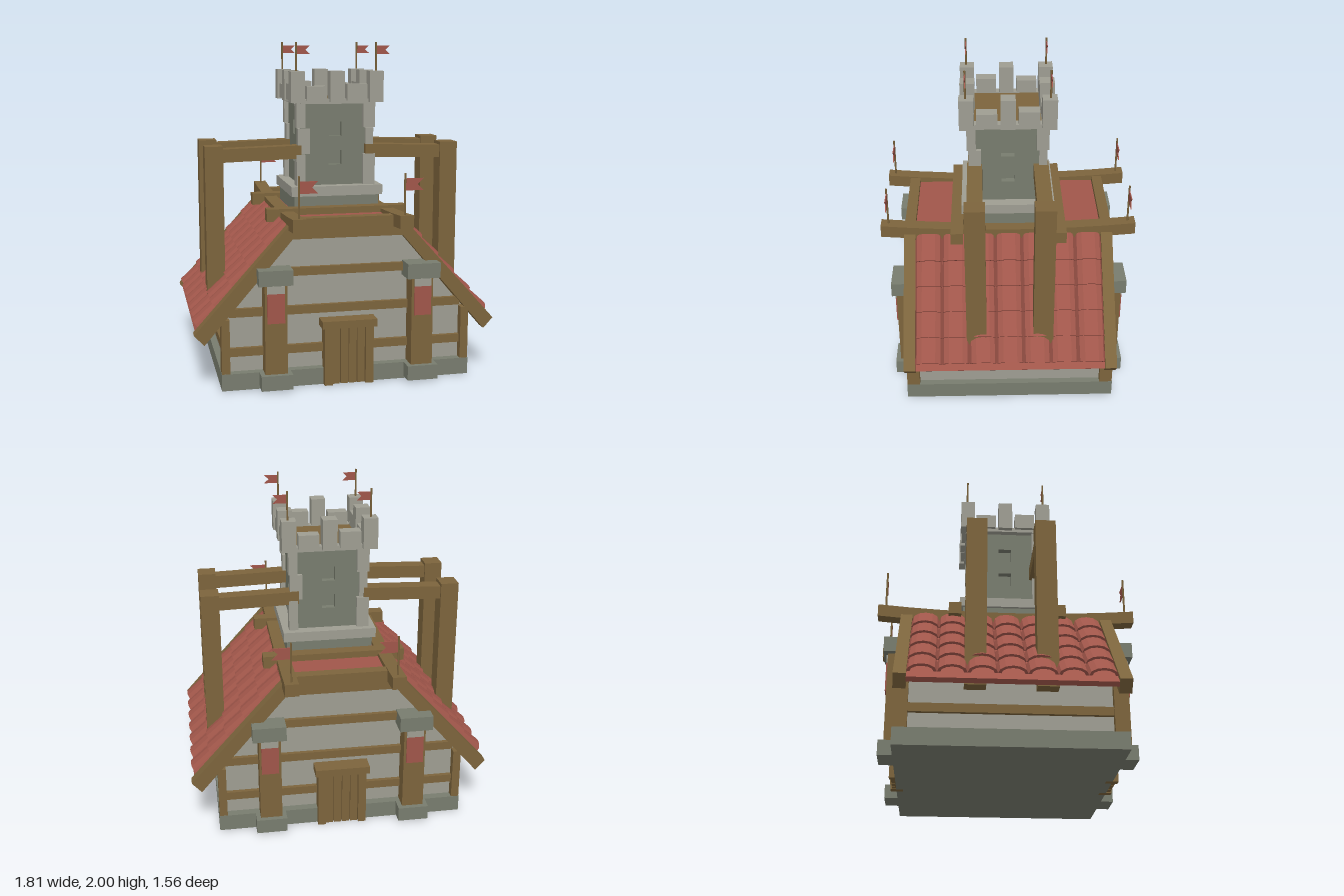
import * as THREE from 'three';

const mat = (name, color) => {
  const m = new THREE.MeshStandardMaterial({ color, side: THREE.DoubleSide });
  m.name = name;
  return m;
};

export function createModel() {
  const wood = mat('wood', 0x7c643c);
  const red = mat('red clay', 0xa0564a);
  const pale = mat('pale stone', 0x9e9d92);
  const grey = mat('grey stone', 0x787c6e);

  const model = new THREE.Group();
  model.name = 'timberHouseWithTower';

  const add = (name, geo, material, parent = model) => {
    const m = new THREE.Mesh(geo, material);
    m.name = name;
    parent.add(m);
    return m;
  };
  // box given by its limits on each axis
  const box = (name, material, x0, x1, y0, y1, z0, z1, parent = model) => {
    const m = add(name, new THREE.BoxGeometry(x1 - x0, y1 - y0, z1 - z0), material, parent);
    m.position.set((x0 + x1) / 2, (y0 + y1) / 2, (z0 + z1) / 2);
    return m;
  };
  const polygon = pts => new THREE.Shape(pts.map(p => new THREE.Vector2(...p)));
  // polygon in x and y, running from z0 to z1
  const prism = (name, material, shape, z0, z1, parent = model) => {
    const m = add(name, new THREE.ExtrudeGeometry(shape, { depth: z1 - z0, bevelEnabled: false }), material, parent);
    m.position.z = z0;
    return m;
  };
  const group = (name, parent = model) => {
    const g = new THREE.Group();
    g.name = name;
    parent.add(g);
    return g;
  };

  // stone foot and plastered walls
  box('foundation', grey, -0.75, 0.75, 0, 0.1, -0.64, 0.64);
  prism('walls', pale, polygon([[-0.71, 0.09], [0.71, 0.09], [0.71, 0.43], [0.33, 0.89], [-0.33, 0.89], [-0.71, 0.43]]), -0.59, 0.59);

  // pole with a swallow-tailed pennant
  const flag = (x, y0, y1, z, len, fy0, fy1, parent) => {
    const g = group('flag', parent);
    const pole = add('flagPole', new THREE.CylinderGeometry(0.006, 0.006, y1 - y0, 6), wood, g);
    pole.position.set(x, (y0 + y1) / 2, z);
    const mid = (fy0 + fy1) / 2;
    prism('pennant', red, polygon([[x, fy0], [x + len, fy0], [x + len * 0.68, mid], [x + len, fy1], [x, fy1]]), z - 0.003, z + 0.003, g);
  };

  // gable end: timbers, pillars and door, used at front and back
  for (const turn of [0, Math.PI]) {
    const g = group(turn ? 'backGable' : 'frontGable');
    g.rotation.y = turn;
    box('lowerRail', wood, -0.72, 0.72, 0.195, 0.245, 0.57, 0.615, g);
    box('middleRail', wood, -0.7, 0.7, 0.43, 0.48, 0.57, 0.615, g);
    box('upperRail', wood, -0.5, 0.5, 0.66, 0.71, 0.57, 0.615, g);
    prism('topBeam', wood, polygon([[-0.33, 0.88], [0.33, 0.88], [0.35, 0.94], [0.33, 1], [-0.33, 1], [-0.35, 0.94]]), 0.57, 0.635, g);
    for (const s of [-1, 1]) {
      const side = (name, m, x0, x1, y0, y1, z0, z1) =>
        box(name, m, Math.min(s * x0, s * x1), Math.max(s * x0, s * x1), y0, y1, z0, z1, g);
      side('cornerPost', wood, 0.7, 0.748, 0.1, 0.42, 0.56, 0.638);
      side('pillar', wood, 0.372, 0.503, 0.09, 0.635, 0.57, 0.695);
      side('pillarFoot', grey, 0.345, 0.53, 0.012, 0.1, 0.56, 0.725);
      side('pillarCap', grey, 0.34, 0.54, 0.63, 0.72, 0.55, 0.72);
      side('bannerHead', pale, 0.387, 0.49, 0.58, 0.625, 0.695, 0.703);
      side('banner', red, 0.387, 0.49, 0.405, 0.58, 0.695, 0.703);
      prism('vergeBeam', wood, polygon([[0.905, 0.344], [0.847, 0.28], [0.33, 0.88], [0.33, 0.985], [0.36, 0.95]].map(p => [s * p[0], p[1]])), 0.57, 0.64, g);
      side('doorJamb', wood, 0.1, 0.148, 0, 0.36, 0.6, 0.675);
      flag(s * 0.31, 1.0, 1.26, 0.735, turn ? -0.11 : 0.11, 1.16, 1.23, g);
    }
    box('doorBack', wood, -0.1, 0.1, 0.005, 0.36, 0.59, 0.645, g);
    for (let i = 0; i < 4; i++) {
      const x = -0.1 + i * 0.0505;
      box('doorPlank', wood, x, x + 0.044, 0.005, 0.355, 0.62, 0.665, g);
    }
    box('doorLintel', wood, -0.165, 0.165, 0.35, 0.395, 0.57, 0.695, g);
  }

  // one arched roof tile
  const arch = (rx, ry) => Array.from({ length: 7 }, (_, i) => {
    const a = Math.PI * i / 6;
    return [rx * Math.cos(a), ry * Math.sin(a)];
  });
  const tileGeo = new THREE.ExtrudeGeometry(
    polygon([...arch(0.0815, 0.045), ...arch(0.064, 0.031).reverse()]), { depth: 0.168, bevelEnabled: false });

  // roof slopes, side rails and braced posts, right and left
  const down = new THREE.Vector3(0.545, -0.596, 0).normalize();
  const out = new THREE.Vector3(-down.y, down.x, 0);
  for (const turn of [0, Math.PI]) {
    const g = group(turn ? 'rightSide' : 'leftSide');
    g.rotation.y = turn;
    prism('roofDeck', red, polygon([[0.3, 0.976], [0.89, 0.33], [0.868, 0.31], [0.3, 0.93]]), -0.572, 0.572, g);
    const tiles = group('roofTiles', g);
    tiles.quaternion.setFromRotationMatrix(new THREE.Matrix4().makeBasis(new THREE.Vector3(0, 0, -1), out, down));
    tiles.position.set(0.345, 0.927, 0);
    for (let row = 0; row < 5; row++) for (let col = 0; col < 7; col++) {
      const t = add('roofTile', tileGeo, red, tiles);
      t.position.set((col - 3) * 0.163, -0.003, row * 0.154 - 0.014);
      t.rotation.x = -0.1;
    }
    box('sideRail', wood, 0.69, 0.735, 0.195, 0.245, -0.57, 0.57, g);
    for (const z of [-0.2, 0.2]) {
      box('tallPost', wood, 0.68, 0.79, 0.335, 1.385, z - 0.06, z + 0.06, g);
      prism('braceBeam', wood, polygon([[0.2, 1.3], [0.7, 1.285], [0.7, 1.365], [0.2, 1.38]]), z - 0.045, z + 0.045, g);
    }
    // sagging ridge beam
    const ridge = new THREE.BoxGeometry(0.082, 0.076, 1.56, 1, 1, 8);
    const p = ridge.attributes.position;
    for (let i = 0; i < p.count; i++) p.setY(i, p.getY(i) + 0.035 * (p.getZ(i) / 0.78) ** 2);
    ridge.computeVertexNormals();
    add('ridgeBeam', ridge.toNonIndexed(), wood, g).position.set(0.312, 0.948, 0);
  }
  box('flatRoof', red, -0.3, 0.3, 0.88, 0.97, -0.58, 0.58);
  for (const z of [-0.315, 0.315]) box('crossBeam', wood, -0.435, 0.435, 0.935, 1.01, z - 0.038, z + 0.038);

  // tower
  const tower = group('tower');
  tower.position.x = 0.015;
  box('towerFoot', grey, -0.265, 0.265, 0.95, 1.07, -0.265, 0.265, tower);
  box('towerPlinth', pale, -0.285, 0.285, 1.07, 1.13, -0.285, 0.285, tower);
  box('towerCore', grey, -0.175, 0.175, 1.1, 1.64, -0.175, 0.175, tower);
  box('towerFloor', wood, -0.205, 0.205, 1.635, 1.655, -0.205, 0.205, tower);

  for (let i = 0; i < 4; i++) {
    const g = group('towerSide', tower);
    g.rotation.y = i * Math.PI / 2;
    // wall with two window openings
    const wall = polygon([[-0.215, 1.12], [0.215, 1.12], [0.215, 1.645], [-0.215, 1.645]]);
    for (const y of [1.255, 1.43]) {
      wall.holes.push(new THREE.Path([[-0.04, y], [-0.04, y + 0.088], [0.04, y + 0.088], [0.04, y]].map(q => new THREE.Vector2(...q))));
    }
    prism('towerWall', grey, wall, 0.175, 0.217, g);
    // corner stones of alternating reach
    [[1.13, 1.325], [1.325, 1.485], [1.485, 1.645]].forEach(([y0, y1], k) => {
      const o = k % 2 ? 0.237 : 0.246;
      const long = k % 2 ? 0.05 : 0.075;
      box('cornerStone', pale, o - long, o, y0, y1 - 0.004, o - (k % 2 ? 0.075 : 0.055), o, g);
    });
    // battlements
    box('parapetBase', pale, -0.22, 0.22, 1.63, 1.66, 0.2, 0.255, g);
    box('cornerMerlon', pale, 0.2, 0.287, 1.64, 1.828, 0.2, 0.287, g);
    box('middleMerlon', pale, -0.044, 0.044, 1.642, 1.828, 0.196, 0.285, g);
    for (const s of [-1, 1]) box('lowMerlon', pale, s * 0.125 - 0.062, s * 0.125 + 0.062, 1.65, s < 0 ? 1.738 : 1.75, 0.2, 0.278, g);
  }
  for (const x of [-0.248, 0.248]) for (const z of [-0.248, 0.248]) flag(x, 1.82, 2, z, 0.085, 1.93, 1.98, tower);

  return model;
}
